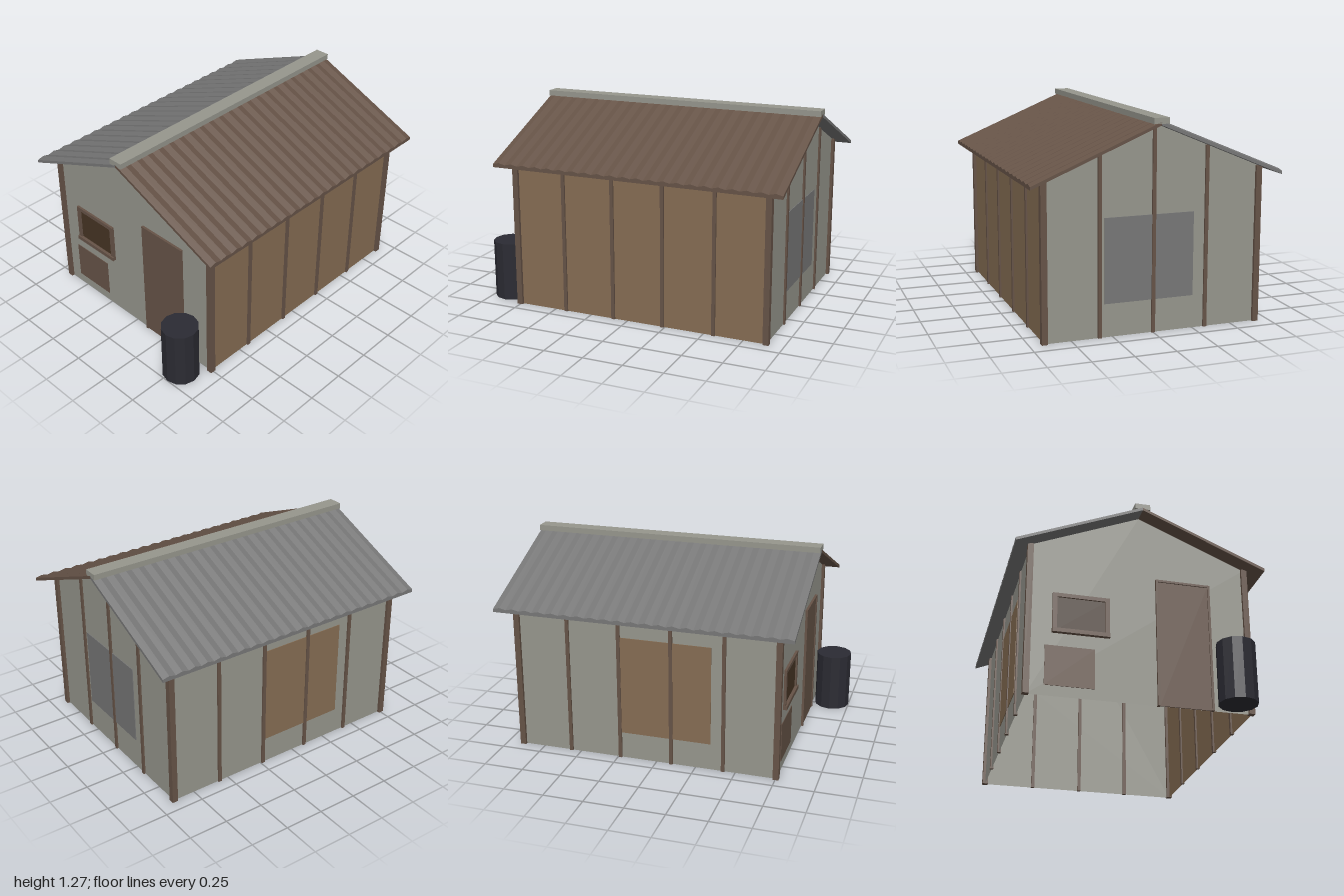
import * as THREE from 'three';

const material = (name, color, side = THREE.FrontSide) => {
  const m = new THREE.MeshStandardMaterial({ color, side });
  m.name = name;
  return m;
};

export function createModel() {
  const plaster = material('pale grey board', 0x96968d, THREE.DoubleSide);
  const tan = material('tan board', 0x866d53, THREE.DoubleSide);
  const brown = material('brown timber', 0x665347);
  const metal = material('grey sheet metal', 0x777777);
  const glass = material('dark window', 0x463524);
  const plastic = material('dark plastic', 0x2b2b33);
  for (const m of [brown, metal, plastic]) m.flatShading = true;

  const model = new THREE.Group();
  model.name = 'shed';
  const add = (name, geometry, mat, parent = model) => {
    const mesh = new THREE.Mesh(geometry, mat);
    mesh.name = name;
    parent.add(mesh);
    return mesh;
  };
  // Box given by its limits on each axis
  const box = (name, mat, x0, x1, y0, y1, z0, z1, parent) => {
    const mesh = add(name, new THREE.BoxGeometry(x1 - x0, y1 - y0, z1 - z0), mat, parent);
    mesh.position.set((x0 + x1) / 2, (y0 + y1) / 2, (z0 + z1) / 2);
    return mesh;
  };
  const group = (name) => {
    const g = new THREE.Group();
    g.name = name;
    model.add(g);
    return g;
  };

  const wallX = 0.662, frontZ = 0.753, backZ = -0.893;
  const slope = 0.418, peak = 1.23;
  const under = (x) => peak - slope * Math.abs(x); // underside of the roof

  // Gable walls
  const gable = new THREE.Shape([
    new THREE.Vector2(-wallX, 0), new THREE.Vector2(wallX, 0),
    new THREE.Vector2(wallX, under(wallX)), new THREE.Vector2(0, peak),
    new THREE.Vector2(-wallX, under(wallX)),
  ]);
  add('frontWall', new THREE.ShapeGeometry(gable), plaster).position.z = frontZ;
  const backWall = add('backWall', new THREE.ShapeGeometry(gable), plaster);
  backWall.position.z = backZ;
  backWall.rotation.y = Math.PI;

  // Side walls
  for (const side of [1, -1]) {
    const wall = add(side > 0 ? 'leftWall' : 'rightWall',
      new THREE.PlaneGeometry(frontZ - backZ, under(wallX)), side > 0 ? tan : plaster);
    wall.position.set(side * wallX, under(wallX) / 2, (frontZ + backZ) / 2);
    wall.rotation.y = side * Math.PI / 2;
  }

  // Corner posts and battens
  const frame = group('timberFrame');
  const post = (name, x, z, w, h) =>
    box(name, brown, x - w / 2, x + w / 2, 0, h, z - w / 2, z + w / 2, frame);
  for (const x of [-wallX, wallX]) {
    for (const z of [frontZ, backZ]) post('cornerPost', x, z, 0.036, under(wallX));
    for (let i = 1; i < 5; i++)
      post('sideBatten', x, frontZ + (backZ - frontZ) * i / 5, 0.022, under(wallX));
  }
  for (const x of [-0.33, 0, 0.33]) post('backBatten', x, backZ, 0.022, under(x));

  // Corrugated roof slopes: zigzag profile pushed outwards, then sheared down
  const roofBack = -1, roofFront = 0.855, waves = 22, reach = 0.763;
  for (const side of [1, -1]) {
    const points = [[roofFront, 0], [roofBack, 0]];
    for (let i = 0; i <= waves * 2; i++) {
      const z = roofBack + (roofFront - roofBack) * i / (waves * 2);
      points.push([z, 0.024 + (i % 2 ? 0.005 : -0.005)]);
    }
    const profile = new THREE.Shape(points.map(([z, y]) => new THREE.Vector2(-side * z, y)));
    const geometry = new THREE.ExtrudeGeometry(profile, { depth: reach, bevelEnabled: false });
    geometry.rotateY(side * Math.PI / 2);
    const p = geometry.attributes.position;
    for (let i = 0; i < p.count; i++) p.setY(i, p.getY(i) + under(p.getX(i)));
    geometry.computeVertexNormals();
    add(side > 0 ? 'leftRoof' : 'rightRoof', geometry, side > 0 ? brown : metal);
  }
  box('ridgeCap', plaster, -0.047, 0.047, 1.238, 1.273, roofBack, roofFront);

  // Door with its frame
  const door = group('door');
  box('doorPanel', brown, 0.112, 0.421, 0, 0.8, frontZ + 0.001, frontZ + 0.008, door);
  for (const x of [0.098, 0.421])
    box('doorJamb', brown, x, x + 0.014, 0, 0.812, frontZ - 0.012, frontZ + 0.015, door);
  box('doorHead', brown, 0.112, 0.421, 0.798, 0.812, frontZ - 0.012, frontZ + 0.015, door);

  // Window with frame and sill
  const win = group('window');
  box('windowPane', glass, -0.5, -0.205, 0.41, 0.625, frontZ + 0.001, frontZ + 0.005, win);
  for (const x of [-0.522, -0.21])
    box('windowJamb', brown, x, x + 0.027, 0.392, 0.645, frontZ - 0.014, frontZ + 0.015, win);
  box('windowHead', brown, -0.495, -0.21, 0.621, 0.645, frontZ - 0.014, frontZ + 0.015, win);
  box('windowSill', brown, -0.523, -0.182, 0.391, 0.416, frontZ - 0.014, frontZ + 0.024, win);

  // Repair patches
  box('frontPatch', brown, -0.56, -0.268, 0.064, 0.31, frontZ + 0.001, frontZ + 0.005);
  box('backPatch', metal, -0.25, 0.3, 0.2, 0.705, backZ - 0.005, backZ - 0.001);
  box('sidePatch', tan, -wallX - 0.005, -wallX - 0.001, 0.17, 0.795, -0.23, 0.345);

  // Water barrel
  add('barrel', new THREE.CylinderGeometry(0.115, 0.115, 0.375, 12), plastic)
    .position.set(0.535, 0.1875, 0.885);

  return model;
}
